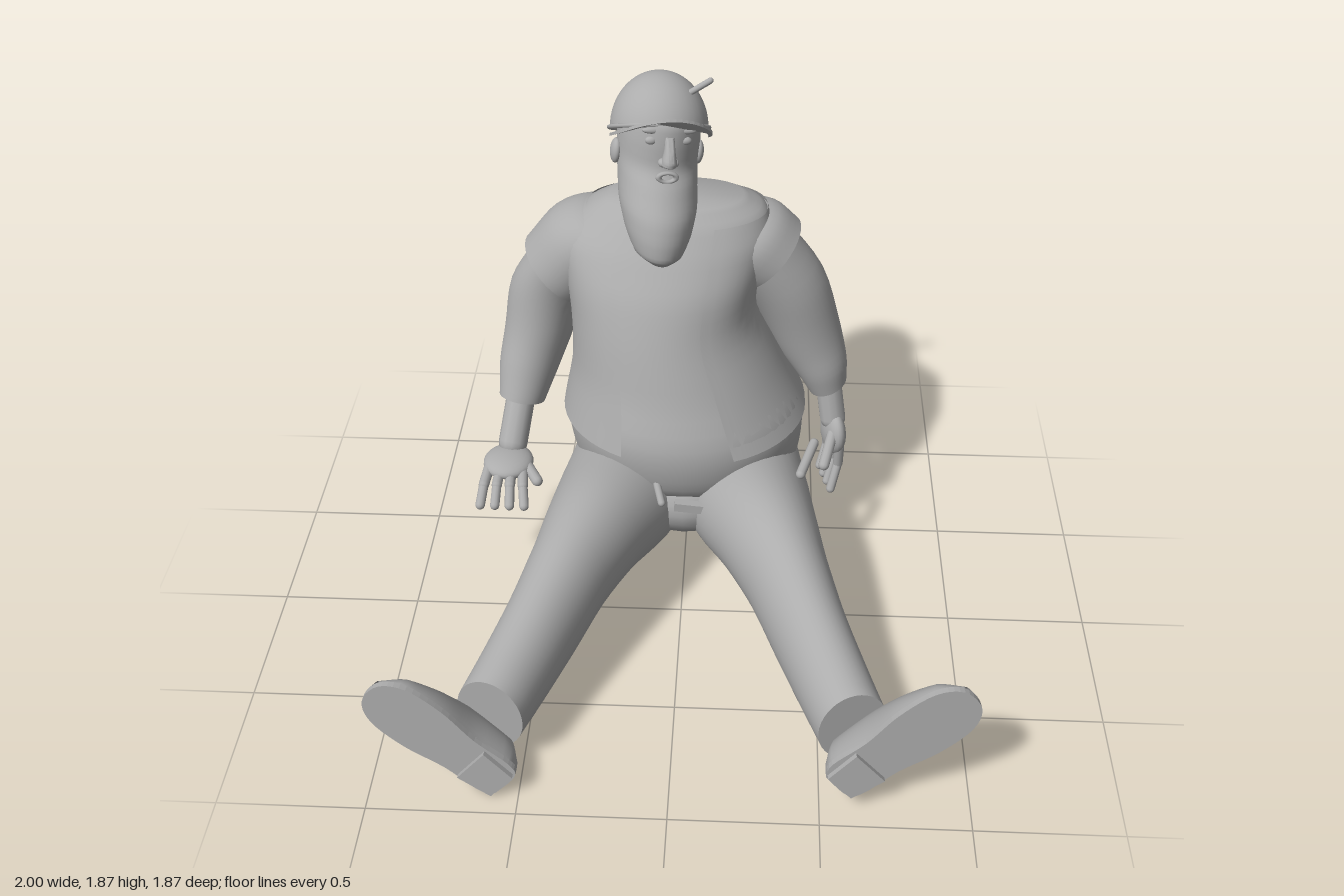
import * as THREE from 'three';
import { toCreasedNormals } from 'three/addons/utils/BufferGeometryUtils.js';

const grey = new THREE.MeshStandardMaterial({ color: 0xacacac, side: THREE.DoubleSide });
grey.name = 'clay grey';
const V = (x, y, z) => new THREE.Vector3(x, y, z);

function add(parent, name, geometry, x = 0, y = 0, z = 0) {
  const mesh = new THREE.Mesh(geometry, grey);
  mesh.name = name;
  mesh.position.set(x, y, z);
  parent.add(mesh);
  return mesh;
}

// Smooth skin over oval rings [x, y, z, radius along u, radius along v];
// square < 1 broadens the half that faces away from v.
function loft(rings, u, v, { arc = [0, 2 * Math.PI], square = 1, sides = 36, grow = 1 } = {}) {
  const centres = new THREE.CatmullRomCurve3(rings.map(r => V(r[0], r[1], r[2])));
  const radii = new THREE.CatmullRomCurve3(rings.map(r => V(r[3], r[4], 0)));
  const closed = arc[1] - arc[0] > 6.28;
  const cols = closed ? sides : sides + 1, rows = (rings.length - 1) * 4;
  const pos = [], idx = [];
  const axis = centres.getPoint(1).sub(centres.getPoint(0));
  const flip = V(0, 0, 0).crossVectors(u, v).dot(axis) < 0;
  const tri = (a, b, c) => (flip ? idx.push(a, c, b) : idx.push(a, b, c));
  for (let i = 0; i <= rows; i++) {
    const c = centres.getPoint(i / rows), r = radii.getPoint(i / rows);
    for (let j = 0; j < cols; j++) {
      const t = arc[0] + (arc[1] - arc[0]) * j / sides;
      const p = Math.sin(t) < 0 ? square : 1;
      const bend = k => Math.sign(k) * Math.abs(k) ** p;
      const q = c.clone().addScaledVector(u, r.x * grow * bend(Math.cos(t)))
        .addScaledVector(v, r.y * grow * bend(Math.sin(t)));
      pos.push(q.x, q.y, q.z);
    }
  }
  for (let i = 0; i < rows; i++) {
    for (let j = 0; j < sides; j++) {
      const a = i * cols + j, b = i * cols + (j + 1) % cols;
      tri(a, b, a + cols);
      tri(b, b + cols, a + cols);
    }
  }
  if (closed) { // end caps
    const n = pos.length / 3, s = centres.getPoint(0), e = centres.getPoint(1);
    pos.push(s.x, s.y, s.z, e.x, e.y, e.z);
    for (let j = 0; j < sides; j++) {
      const k = (j + 1) % sides, base = rows * cols;
      tri(n, k, j);
      tri(n + 1, base + j, base + k);
    }
  }
  const g = new THREE.BufferGeometry();
  g.setAttribute('position', new THREE.Float32BufferAttribute(pos, 3));
  g.setIndex(idx);
  return toCreasedNormals(g, 0.9);
}

// Rounded rod between two points
function rod(parent, name, a, b, r) {
  const d = b.clone().sub(a);
  const m = add(parent, name, new THREE.CapsuleGeometry(r, d.length(), 6, 12));
  m.position.copy(a).addScaledVector(d, 0.5);
  m.quaternion.setFromUnitVectors(V(0, 1, 0), d.normalize());
}

function ball(parent, name, x, y, z, rx, ry, rz) {
  const m = add(parent, name, new THREE.SphereGeometry(1, 24, 16), x, y, z);
  m.scale.set(rx, ry, rz);
  return m;
}

// Shoe: x runs heel to toe, the sole faces +z
function shoe(parent, name, x, y, z, angle) {
  const g = new THREE.Group();
  g.name = name;
  g.position.set(x, y, z);
  g.rotation.set(0, 0.1, angle, 'ZYX');
  parent.add(g);
  const plan = [[-0.01, 0.055, 0.1], [0.04, 0.085, 0.16], [0.18, 0.085, 0.175],
    [0.33, 0.108, 0.14], [0.47, 0.1, 0.085], [0.545, 0.045, 0.03]];
  add(g, 'shoeUpper', loft(plan.map(([t, w, h]) => [t, 0, 0, w, h]),
    V(0, 1, 0), V(0, 0, -1), { arc: [0, Math.PI], sides: 24 }));
  const side = plan.map(([t, w]) => new THREE.Vector2(t, w));
  const back = plan.map(([t, w]) => new THREE.Vector2(t, -w)).reverse();
  const outline = new THREE.SplineCurve([...side, ...back, side[0]]).getPoints(60);
  add(g, 'sole', new THREE.ExtrudeGeometry(new THREE.Shape(outline), { depth: 0.022, bevelEnabled: false }), 0, 0, -0.005);
  const heel = new THREE.Shape([[0, -0.06], [0.13, -0.075], [0.13, 0.075], [0, 0.06]].map(p => new THREE.Vector2(...p)));
  add(g, 'heel', new THREE.ExtrudeGeometry(heel, { depth: 0.03, bevelEnabled: false }), 0, 0, 0.005);
}

export function createModel() {
  const man = new THREE.Group();
  man.name = 'seatedMan';
  const X = V(1, 0, 0), Y = V(0, 1, 0), Z = V(0, 0, 1);

  // Shirt body, listed from hem to collar
  const body = [
    [0, 0.31, -0.61, 0.395, 0.3], [0, 0.42, -0.53, 0.43, 0.39], [-0.01, 0.6, -0.51, 0.445, 0.41],
    [-0.045, 0.8, -0.545, 0.375, 0.38], [-0.09, 1.0, -0.58, 0.335, 0.345], [-0.09, 1.15, -0.605, 0.355, 0.305],
    [-0.08, 1.27, -0.635, 0.375, 0.25], [-0.045, 1.36, -0.645, 0.32, 0.185], [-0.045, 1.41, -0.64, 0.24, 0.125]];
  add(man, 'shirt', loft(body, X, Z, { square: 0.8, sides: 48 }));

  // Open vest over the shirt
  add(man, 'vest', loft(body.slice(2, 8), X, Z,
    { square: 0.8, sides: 48, grow: 1.025, arc: [2.06, 2 * Math.PI + 1.13] }));

  // Legs, seat and shoes
  for (const s of [1, -1]) {
    const leg = [
      [0.15, 0.36, -0.83, 0.16, 0.09], [0.17, 0.345, -0.74, 0.215, 0.155], [0.18, 0.315, -0.6, 0.245, 0.215],
      [0.2, 0.3, -0.46, 0.25, 0.23], [0.25, 0.325, -0.23, 0.23, 0.23], [0.32, 0.355, 0, 0.185, 0.213],
      [0.39, 0.33, 0.2, 0.15, 0.2], [0.465, 0.27, 0.4, 0.133, 0.19], [0.545, 0.22, 0.6, 0.125, 0.165],
      [0.605, 0.195, 0.755, 0.12, 0.145]].map(([x, ...r]) => [x * s, ...r]);
    add(man, s > 0 ? 'leftTrouserLeg' : 'rightTrouserLeg', loft(leg, V(0.95 * s, 0, -0.3), Y));
  }
  ball(man, 'trouserSeat', 0, 0.345, -0.5, 0.36, 0.22, 0.39);
  shoe(man, 'leftShoe', 0.56, 0.09, 0.9, 0.72);
  shoe(man, 'rightShoe', -0.55, 0.037, 0.9, Math.PI - 0.69);

  // Sleeves and arms
  add(man, 'leftSleeve', loft([[0, 1.21, -0.66, 0.17, 0.18], [0.1, 1.225, -0.67, 0.18, 0.2],
    [0.2, 1.215, -0.675, 0.175, 0.205], [0.295, 1.155, -0.68, 0.157, 0.193]], V(0.7, 0.7, 0), Z));
  add(man, 'leftArm', loft([[0.22, 1.2, -0.68, 0.155, 0.187], [0.36, 1.02, -0.685, 0.148, 0.172],
    [0.455, 0.8, -0.675, 0.125, 0.138], [0.51, 0.68, -0.65, 0.098, 0.108], [0.535, 0.6, -0.64, 0.075, 0.085]],
    V(0.93, 0.36, 0), Z));
  add(man, 'rightSleeve', loft([[-0.16, 1.22, -0.66, 0.17, 0.19], [-0.27, 1.23, -0.665, 0.177, 0.2],
    [-0.38, 1.19, -0.675, 0.17, 0.195], [-0.495, 1.065, -0.685, 0.16, 0.175]], V(-0.7, 0.7, 0), Z));
  add(man, 'rightArm', loft([[-0.42, 1.15, -0.68, 0.155, 0.168], [-0.53, 0.98, -0.695, 0.143, 0.158],
    [-0.575, 0.8, -0.665, 0.128, 0.145], [-0.61, 0.68, -0.61, 0.113, 0.125], [-0.635, 0.57, -0.54, 0.088, 0.095]],
    V(-0.97, 0.2, 0), V(0, 0.3, 0.95)));

  // Left hand hanging down, palm turned diagonally
  rod(man, 'leftWrist', V(0.535, 0.62, -0.64), V(0.56, 0.46, -0.61), 0.05);
  ball(man, 'leftPalm', 0.565, 0.4, -0.6, 0.042, 0.095, 0.085).rotation.y = 0.35;
  for (let i = 0; i < 4; i++) {
    const x = 0.59 - i * 0.014, z = -0.55 - i * 0.034, bend = V(x, 0.27 + i * 0.008, z - 0.012);
    rod(man, 'leftFinger', V(x, 0.36, z), bend, 0.019);
    rod(man, 'leftFingertip', bend, V(x - 0.025, 0.17 + i * 0.012, z + 0.025), 0.017);
  }
  rod(man, 'leftThumb', V(0.56, 0.42, -0.55), V(0.53, 0.33, -0.47), 0.021);

  // Right hand reaching forward, fingers spread
  rod(man, 'rightWrist', V(-0.64, 0.57, -0.53), V(-0.665, 0.43, -0.43), 0.055);
  ball(man, 'rightPalm', -0.675, 0.395, -0.355, 0.095, 0.04, 0.1);
  for (let i = 0; i < 4; i++) {
    const x = -0.745 + i * 0.043, out = (i - 1.5) * 0.006, bend = V(x + out, 0.375, -0.235);
    rod(man, 'rightFinger', V(x, 0.39, -0.32), bend, 0.02);
    rod(man, 'rightFingertip', bend, V(x + out * 2, 0.325, -0.175), 0.018);
  }
  rod(man, 'rightThumb', V(-0.62, 0.395, -0.37), V(-0.555, 0.38, -0.26), 0.021);

  // Neck and head
  add(man, 'neck', loft([[-0.1, 1.28, -0.58, 0.12, 0.12], [-0.11, 1.42, -0.61, 0.12, 0.12],
    [-0.12, 1.58, -0.68, 0.13, 0.13]], X, Z));
  const head = new THREE.Group();
  head.name = 'head';
  head.position.set(-0.11, 1.64, -0.66);
  head.rotation.set(0, 0.25, -0.12);
  man.add(head);
  add(head, 'faceAndBeard', loft([[0, 0.17, -0.01, 0.07, 0.08], [0, 0.1, 0, 0.135, 0.165],
    [0, 0.01, 0, 0.145, 0.178], [0, -0.06, 0.012, 0.142, 0.172], [0, -0.12, 0.045, 0.14, 0.185],
    [0, -0.2, 0.1, 0.138, 0.185], [0, -0.28, 0.15, 0.12, 0.16], [0, -0.35, 0.195, 0.088, 0.115],
    [0, -0.375, 0.21, 0.05, 0.08]], X, Z));
  add(head, 'noseBridge', loft([[0, 0.065, 0.165, 0.016, 0.015], [0, 0.02, 0.19, 0.02, 0.03],
    [0, -0.02, 0.2, 0.028, 0.035], [0, -0.035, 0.185, 0.02, 0.02]], X, Z, { sides: 16 }));
  for (const s of [1, -1]) {
    ball(head, 'eye', s * 0.06, 0.045, 0.152, 0.022, 0.015, 0.014);
    ball(head, 'eyebrow', s * 0.06, 0.08, 0.147, 0.035, 0.012, 0.012);
    ball(head, 'nostril', s * 0.02, -0.02, 0.19, 0.017, 0.015, 0.02);
    ball(head, 'ear', s * 0.148, -0.065, 0.01, 0.02, 0.046, 0.035);
  }
  add(head, 'lips', new THREE.TorusGeometry(0.028, 0.01, 10, 24), 0, -0.072, 0.198).scale.set(1.1, 0.6, 1);

  // Cap with a rim, a curved peak and a tucked pencil
  const cap = new THREE.Group();
  cap.name = 'cap';
  cap.position.set(0, 0.02, 0);
  cap.rotation.x = -0.5;
  head.add(cap);
  add(cap, 'capDome', new THREE.SphereGeometry(1, 36, 16, 0, 2 * Math.PI, 0, Math.PI / 2)).scale.set(0.172, 0.198, 0.185);
  const rim = add(cap, 'capRim', new THREE.TorusGeometry(0.175, 0.008, 8, 40));
  rim.rotation.x = Math.PI / 2;
  const peak = new THREE.Shape();
  peak.moveTo(-0.176, 0);
  peak.bezierCurveTo(-0.185, 0.345, 0.185, 0.345, 0.176, 0);
  peak.bezierCurveTo(0.16, 0.21, -0.16, 0.21, -0.176, 0);
  const peakGeo = new THREE.ExtrudeGeometry(peak, { depth: 0.01, bevelEnabled: false, curveSegments: 24 });
  peakGeo.rotateX(Math.PI / 2);
  peakGeo.scale(1, -1, 1);
  peakGeo.rotateZ(Math.PI);
  const p = peakGeo.attributes.position;
  for (let i = 0; i < p.count; i++) p.setY(i, p.getY(i) + 0.015 - 1.2 * p.getX(i) ** 2);
  peakGeo.computeVertexNormals();
  add(cap, 'capPeak', peakGeo);
  rod(man, 'pencil', V(-0.02, 1.79, -0.64), V(0.07, 1.85, -0.64), 0.011);

  // Belt buckle and pocket tools
  add(man, 'beltBuckle', new THREE.BoxGeometry(0.12, 0.035, 0.03), 0.03, 0.4, -0.11).rotation.z = -0.1;
  rod(man, 'hipTool', V(0.48, 0.535, -0.34), V(0.43, 0.505, -0.19), 0.018);
  for (const x of [-0.135, -0.095]) rod(man, 'pocketTool', V(x, 0.49, -0.13), V(x + 0.02, 0.44, -0.08), 0.014);

  return man;
}
